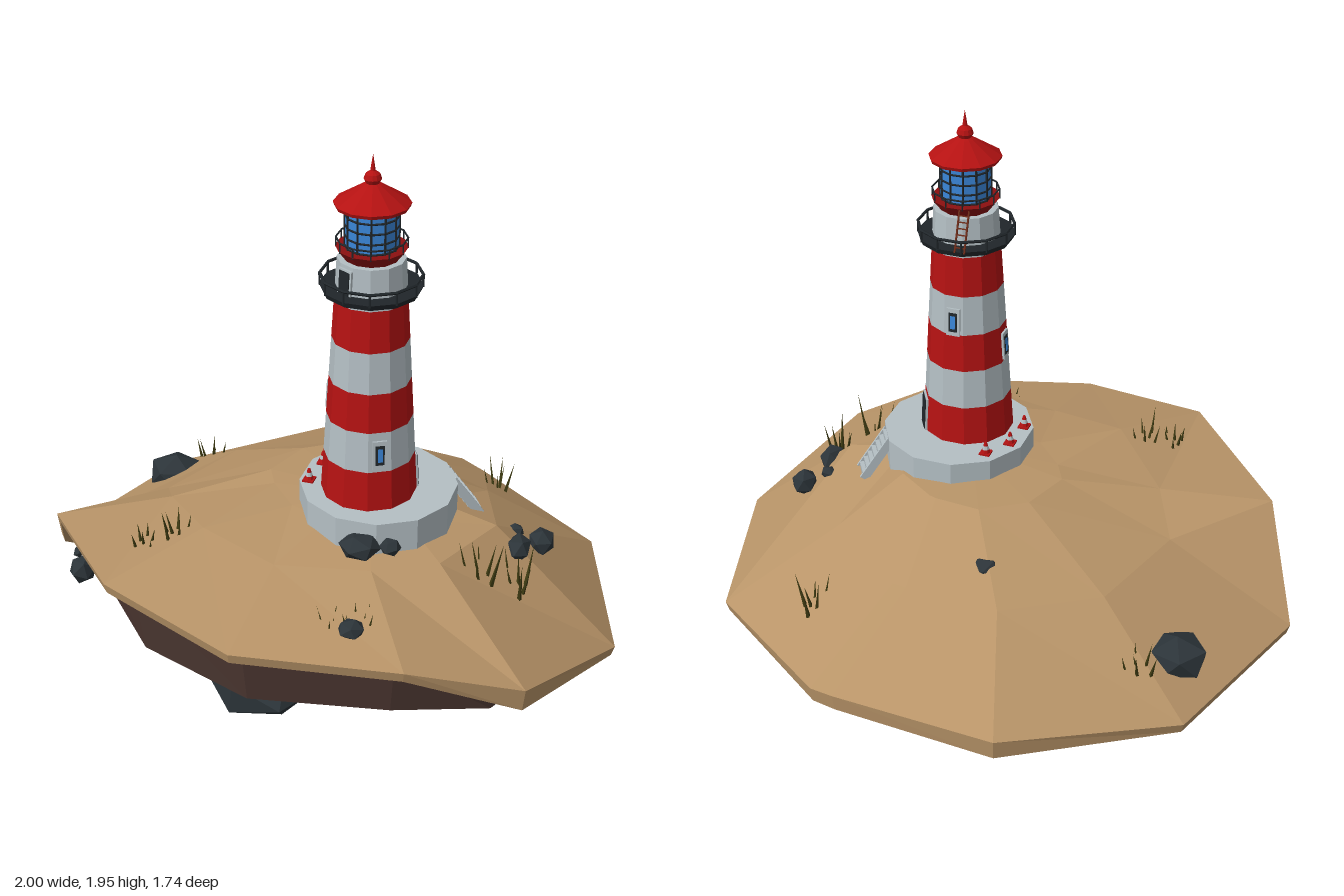
import * as THREE from 'three';

const SAND = 0xb89468, EARTH = 0x4c3731, RED = 0xb51212, WHITE = 0xb4bfc4;
const DARK = 0x20262a, ROCK = 0x2c3439, GLASS = 0x3a86d8, GRASS = 0x3d3a12;
const materials = {};
const mat = (color) => materials[color] ??= new THREE.MeshStandardMaterial({ color, flatShading: true, side: THREE.DoubleSide });

function add(parent, name, geo, color, x = 0, y = 0, z = 0) {
  const m = new THREE.Mesh(geo, mat(color));
  m.name = name;
  m.position.set(x, y, z);
  parent.add(m);
  return m;
}
function group(parent, name, x = 0, y = 0, z = 0, turn = 0) {
  const g = new THREE.Group();
  g.name = name;
  g.position.set(x, y, z);
  g.rotation.y = turn;
  parent.add(g);
  return g;
}

// Skin between closed rings of points, listed from bottom to top
function loft(rings) {
  const pos = [], n = rings[0].length;
  for (let r = 0; r < rings.length - 1; r++) {
    const lo = rings[r], up = rings[r + 1];
    for (let i = 0; i < n; i++) {
      const j = (i + 1) % n;
      pos.push(...lo[i], ...up[i], ...up[j], ...lo[i], ...up[j], ...lo[j]);
    }
  }
  const g = new THREE.BufferGeometry();
  g.setAttribute('position', new THREE.Float32BufferAttribute(pos, 3));
  g.computeVertexNormals();
  return g;
}

// Island rim: x, z, top height, underside height, height of the slope further in
const RIM = [
  [-1, 0.05, 0.34, 0.305, 0.60], [-0.79, -0.54, 0.34, 0.305, 0.58], [-0.29, -0.875, 0.40, 0.33, 0.59],
  [0.26, -0.83, 0.38, 0.32, 0.58], [0.35, -0.80, 0.36, 0.305, 0.57], [0.82, -0.48, 0.34, 0.305, 0.61],
  [1, 0.10, 0.34, 0.305, 0.70], [0.80, 0.58, 0.48, 0.40, 0.71], [0.47, 0.76, 0.60, 0.565, 0.71],
  [-0.04, 0.865, 0.625, 0.59, 0.71], [-0.50, 0.72, 0.68, 0.645, 0.74], [-0.855, 0.33, 0.625, 0.59, 0.68],
];
function buildIsland(root) {
  const g = group(root, 'island');
  const ring = (s, h, ox = 0, oz = 0) => RIM.map((p, i) => [p[0] * s + ox, h(p, i), p[1] * s + oz]);
  const seam = ring(0.89, (p) => p[3]);
  add(g, 'sandTop', loft([
    seam, ring(0.99, (p) => p[3]), ring(1, (p) => p[2]), ring(0.58, (p) => p[4]),
    ring(0.28, () => 0.75, 0.08, 0.02), ring(0, () => 0.77, 0.15, 0.1)]), SAND);
  add(g, 'earthUnderside', loft([
    ring(0, () => 0, 0, 0.03), ring(0.3, (p, i) => 0.105 + 0.012 * (i % 2)),
    ring(0.6, (p, i) => 0.19 + 0.02 * (i % 2)),
    ring(0.85, (p) => 0.29 + 0.25 * (p[3] - 0.3)), seam]), EARTH);
}

// x, y, z, then half sizes
const ROCKS = [
  [-0.71, 0.43, -0.33, 0.1, 0.07, 0.095], [-0.08, 0.63, -0.37, 0.05, 0.045, 0.045], [-0.165, 0.62, -0.385, 0.017, 0.017, 0.017],
  [0.71, 0.59, -0.06, 0.045, 0.045, 0.05], [0.655, 0.63, 0.06, 0.042, 0.042, 0.06], [0.625, 0.63, -0.035, 0.03, 0.025, 0.024],
  [0.22, 0.76, 0.39, 0.065, 0.038, 0.065], [0.31, 0.755, 0.36, 0.034, 0.028, 0.034], [0.28, 0.655, 0.67, 0.042, 0.028, 0.042],
  [-0.09, 0.21, 0.46, 0.18, 0.11, 0.15], [-0.755, 0.45, 0.37, 0.045, 0.05, 0.05], [-0.755, 0.53, 0.38, 0.02, 0.02, 0.03],
  [0.57, 0.215, -0.27, 0.06, 0.045, 0.06], [0.56, 0.225, -0.34, 0.03, 0.025, 0.03],
];
function buildRocks(root) {
  const g = group(root, 'rocks');
  ROCKS.forEach(([x, y, z, a, b, c], i) => {
    const geo = new THREE.IcosahedronGeometry(1, 0).rotateZ(0.5 + i).rotateY(i * 1.7);
    add(g, 'rock', geo.scale(a * 1.04, b * 1.04, c * 1.04), ROCK, x, y, z);
  });
}

// x, z, ground height, blade height
const TUFTS = [
  [-0.62, -0.45, 0.44, 0.09], [0.46, -0.53, 0.47, 0.12], [0.69, 0.19, 0.57, 0.14], [0.58, 0.25, 0.63, 0.15],
  [-0.38, 0.43, 0.71, 0.1], [-0.47, 0.48, 0.69, 0.06], [0.2, 0.64, 0.63, 0.06], [0.29, 0.62, 0.63, 0.07],
];
function buildGrass(root) {
  TUFTS.forEach(([x, z, y, h], t) => {
    const g = group(root, 'grassTuft', x, y, z, t);
    for (let i = 0; i < 6; i++) {
      const len = h * (0.6 + 0.4 * ((i * 5 + t) % 6) / 5), a = i * 2.4, r = 0.012 + 0.007 * i;
      const blade = add(g, 'blade', new THREE.ConeGeometry(0.008, len + 0.03, 4).translate(0, len / 2 - 0.015, 0),
        GRASS, r * Math.cos(a), 0, r * Math.sin(a));
      blade.rotation.set(0.22 * Math.sin(a), 0, -0.22 * Math.cos(a));
    }
  });
}

const SIDES = 12, FACET = Math.PI / SIDES, deg = Math.PI / 180;
const towerRadius = (y) => 0.153 - (y - 0.83) * 0.061;
const prism = (rTop, rBottom, h) => new THREE.CylinderGeometry(rTop, rBottom, h, SIDES).rotateY(FACET);

// Group lying on a tower wall, facing outward at the given angle
function onWall(tower, name, angle, y) {
  const r = towerRadius(y) * Math.cos(FACET), a = angle * deg;
  const g = group(tower, name, r * Math.sin(a), y, r * Math.cos(a), a);
  g.rotation.order = 'YXZ';
  g.rotation.x = -0.06;
  return g;
}

function ringOfPosts(parent, name, r, y0, y1, thick, count) {
  for (let i = 0; i < count; i++) {
    const a = (i + 0.5) * 2 * Math.PI / count;
    add(parent, name, new THREE.CylinderGeometry(thick, thick, y1 - y0, 5), DARK, r * Math.sin(a), (y0 + y1) / 2, r * Math.cos(a));
  }
}
function hoop(parent, name, r, y, thick) {
  add(parent, name, new THREE.TorusGeometry(r, thick, 5, SIDES).rotateX(Math.PI / 2).rotateY(FACET), DARK, 0, y, 0);
}

function buildTower(root) {
  const t = group(root, 'tower', 0.177, 0, 0.153);
  // striped shaft
  const levels = [0.82, 0.965, 1.1, 1.23, 1.365, 1.5, 1.63];
  for (let i = 0; i < 6; i++) {
    const a = levels[i], b = levels[i + 1];
    add(t, 'shaftBand', prism(towerRadius(b), towerRadius(a), b - a), i % 2 ? WHITE : RED, 0, (a + b) / 2, 0);
  }
  // windows
  for (const [angle, y] of [[30, 1.025], [-90, 1.155], [180, 1.275]]) {
    const w = onWall(t, 'window', angle, y);
    add(w, 'windowFrame', new THREE.BoxGeometry(0.046, 0.095, 0.014), WHITE);
    add(w, 'windowRecess', new THREE.BoxGeometry(0.028, 0.066, 0.018), DARK);
    add(w, 'windowPane', new THREE.BoxGeometry(0.016, 0.045, 0.021), GLASS);
  }
  // doors at the ground and on the gallery
  for (const [angle, y, w, h] of [[120, 0.887, 0.06, 0.11], [-30, 1.573, 0.042, 0.08]]) {
    const d = onWall(t, 'door', angle, y);
    add(d, 'doorFrame', new THREE.BoxGeometry(w + 0.014, h + 0.012, 0.014), WHITE);
    add(d, 'doorLeaf', new THREE.BoxGeometry(w, h, 0.02), DARK);
  }
  // gallery
  add(t, 'galleryDeck', prism(0.158, 0.15, 0.018), DARK, 0, 1.532, 0);
  hoop(t, 'galleryRail', 0.155, 1.575, 0.005);
  ringOfPosts(t, 'galleryPost', 0.155, 1.535, 1.575, 0.004, 12);
  // ladder from gallery to lantern
  const ladder = group(t, 'ladder', -0.035, 1.6, -0.128);
  ladder.rotation.x = 0.36;
  for (const s of [-1, 1]) add(ladder, 'ladderSide', new THREE.BoxGeometry(0.005, 0.135, 0.005), 0x6b2a18, s * 0.016, 0, 0);
  for (let i = 0; i < 6; i++) add(ladder, 'rung', new THREE.BoxGeometry(0.032, 0.004, 0.004), 0x6b2a18, 0, -0.05 + i * 0.02, 0);
  // lantern room
  add(t, 'lanternFlare', prism(0.11, 0.08, 0.04), 0x8c1010, 0, 1.645, 0);
  hoop(t, 'lanternRail', 0.107, 1.692, 0.003);
  ringOfPosts(t, 'lanternPost', 0.107, 1.66, 1.692, 0.0025, 12);
  add(t, 'lanternGlass', prism(0.08, 0.08, 0.135), GLASS, 0, 1.728, 0);
  ringOfPosts(t, 'glazingBar', 0.081, 1.66, 1.795, 0.0035, 12);
  for (const y of [1.668, 1.7, 1.732, 1.764, 1.792]) hoop(t, 'glazingHoop', 0.081, y, 0.0035);
  // roof with finial
  const profile = [[0, 1.792], [0.112, 1.792], [0.116, 1.803], [0.03, 1.857], [0.02, 1.862], [0.027, 1.875],
    [0.022, 1.89], [0.008, 1.9], [0.005, 1.92], [0, 1.95]].map((p) => new THREE.Vector2(...p));
  add(t, 'roof', new THREE.LatheGeometry(profile, SIDES).rotateY(FACET), RED);
}

function buildBase(root) {
  const b = group(root, 'base', 0.2, 0, 0.12);
  add(b, 'plinth', prism(0.255, 0.255, 0.13), WHITE, 0, 0.765, 0);
  // steps down from the plinth
  const stairs = group(b, 'stairs', 0, 0, 0, 122 * deg);
  const n = 7, run = 0.014, rise = 0.02;
  for (let i = 0; i < n; i++)
    add(stairs, 'step', new THREE.BoxGeometry(0.07, 0.035, run + 0.004), WHITE, 0, 0.805 - i * rise, 0.248 + i * run);
  for (const s of [-1, 1]) {
    const side = add(stairs, 'stringer', new THREE.BoxGeometry(0.008, 0.03, 0.175), WHITE, s * 0.037, 0.75, 0.288);
    side.rotation.x = Math.atan2(rise, run);
  }
  // striped marker cones
  for (const [x, z] of [[0.05, -0.02], [-0.005, 0.065], [-0.015, 0.18]]) {
    const c = group(root, 'markerCone', x, 0.83, z);
    add(c, 'coneFoot', new THREE.BoxGeometry(0.036, 0.006, 0.036), RED, 0, 0.003, 0);
    [0.016, 0.012, 0.008].forEach((r, i) =>
      add(c, 'coneBand', new THREE.CylinderGeometry(r - 0.004, r, 0.013, 8), i === 1 ? WHITE : RED, 0, 0.011 + i * 0.013, 0));
  }
}

export function createModel() {
  const root = new THREE.Group();
  root.name = 'lighthouseIsland';
  buildIsland(root);
  buildRocks(root);
  buildGrass(root);
  buildBase(root);
  buildTower(root);
  return root;
}
